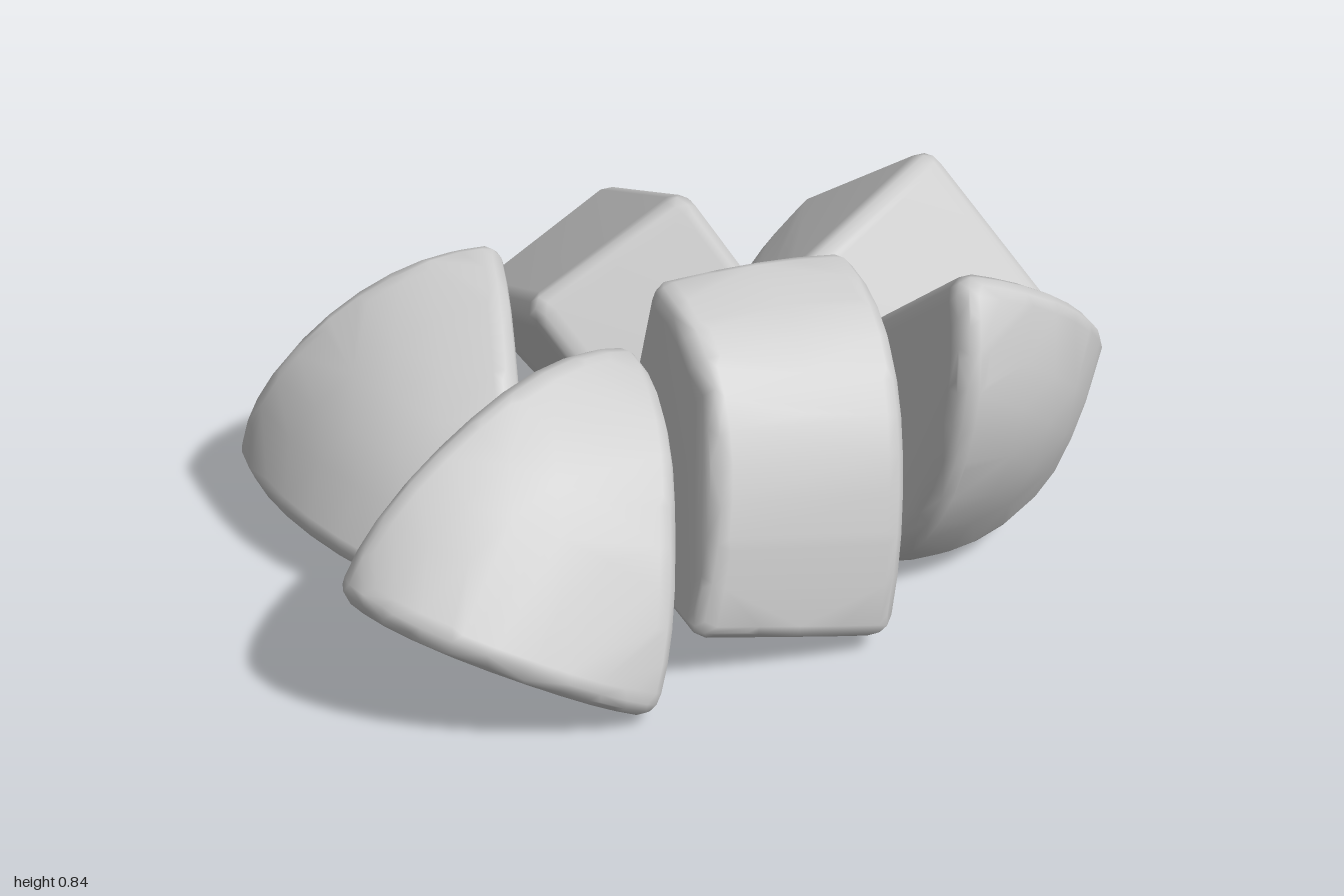
import * as THREE from 'three';
import { mergeVertices } from 'three/addons/utils/BufferGeometryUtils.js';
import { ConvexGeometry } from 'three/addons/geometries/ConvexGeometry.js';

const EDGE = 0.05; // radius of the softened edges
const STEPS = 10; // subdivisions of the curved skin

const vec = (a) => new THREE.Vector3(...a);

// Weights (a, b, c) on a superellipsoid octant: the skin of an end piece
function octantWeights(power) {
  const list = [[0, 0, 0]];
  for (let i = 0; i <= STEPS; i++) {
    for (let j = 0; j <= STEPS - i; j++) {
      const w = [i, j, STEPS - i - j];
      const n = Math.pow(w.reduce((s, v) => s + v ** power, 0), 1 / power);
      list.push(w.map((v) => v / n));
    }
  }
  return list;
}

// Weights of a quarter disc swept along the first axis, shrinking to taper: a middle piece
function quarterWeights(power, taper) {
  const list = [[0, 0, 0], [1, 0, 0]];
  for (let k = 0; k <= 4; k++) {
    const t = k / 4;
    const size = 1 - (1 - taper) * t;
    for (let i = 0; i <= STEPS; i++) {
      const angle = (i / STEPS) * Math.PI / 2;
      const c = Math.cos(angle), s = Math.sin(angle);
      const n = size * (1 + 0.1 * t * (1 - t)) / Math.pow(c ** power + s ** power, 1 / power);
      list.push([t, c * n, s * n]);
    }
  }
  return list;
}

// Directions that round off every corner
function ballPoints() {
  const ico = new THREE.IcosahedronGeometry(EDGE, 1);
  ico.deleteAttribute('normal');
  ico.deleteAttribute('uv');
  const pos = mergeVertices(ico).attributes.position;
  return Array.from({ length: pos.count }, (_, i) => new THREE.Vector3().fromBufferAttribute(pos, i));
}

// One cut piece: inner corner, the tips of its three cut edges, skin weights
function chunk(name, corner, tips, weights, middle, ball, material) {
  const o = vec(corner);
  const axes = tips.map((t) => vec(t).sub(o));
  const at = (w) => axes.reduce((p, axis, k) => p.addScaledVector(axis, w[k]), o.clone());
  const centre = at([middle, 0.42, 0.42]);
  const points = [];
  for (const w of weights) {
    const p = at(w);
    // the open skin stays smooth, points along the cuts get a rounded edge
    if (w.every((v) => v > 0.001 && v < 0.999)) {
      points.push(p);
      continue;
    }
    p.addScaledVector(centre.clone().sub(p).normalize(), EDGE);
    for (const b of ball) points.push(p.clone().add(b));
  }
  let geometry = new ConvexGeometry(points);
  geometry.deleteAttribute('normal');
  geometry = mergeVertices(geometry, 1e-4);
  geometry.computeVertexNormals();
  const mesh = new THREE.Mesh(geometry, material);
  mesh.name = name;
  return mesh;
}

export function createModel() {
  const group = new THREE.Group();
  group.name = 'cutChunks';
  const material = new THREE.MeshStandardMaterial({ color: 0xcccccc });
  const ball = ballPoints();

  // End pieces: three flat cuts meeting at a corner, domed skin opposite
  const ends = [
    ['frontRightChunk', 1.75, [-0.5, 0.02, 0.22], [[-1, 0.32, 0.38], [-0.23, 0.56, 0.1], [-0.42, 0.02, 0.66]]],
    ['frontLeftChunk', 1.87, [0.37, 0.42, 0.04], [[0.88, 0.3, 0.14], [0.38, 0.82, 0.52], [0.26, 0.06, 0.39]]],
    ['backRightChunk', 1.8, [-0.41, 0.04, -0.46], [[-0.95, 0.13, -0.51], [-0.35, 0.58, -0.42], [-0.53, 0.005, 0.17]]],
    ['backLeftChunk', 2.2, [0.71, 0.665, -0.28], [[1, 0.19, 0], [0.59, 0.35, -0.68], [0.25, 0.53, -0.07]]],
  ];
  for (const [name, power, corner, tips] of ends) {
    group.add(chunk(name, corner, tips, octantWeights(power), 0.42, ball, material));
  }

  // Middle pieces: quarter cylinders between two cuts, slightly smaller at one end
  const middles = [
    ['frontMiddleChunk', 0.92, [0.14, 0.03, 0.125], [[-0.28, 0.12, 0.125], [0.28, 0.7, 0.125], [0.15, 0.04, 0.63]]],
    ['backMiddleChunk', 0.93, [0, 0.78, -0.12], [[-0.37, 0.61, -0.08], [0.05, 0.5, -0.69], [0.27, 0.31, 0.09]]],
  ];
  for (const [name, taper, corner, tips] of middles) {
    group.add(chunk(name, corner, tips, quarterWeights(2.1, taper), 0.5, ball, material));
  }
  return group;
}
